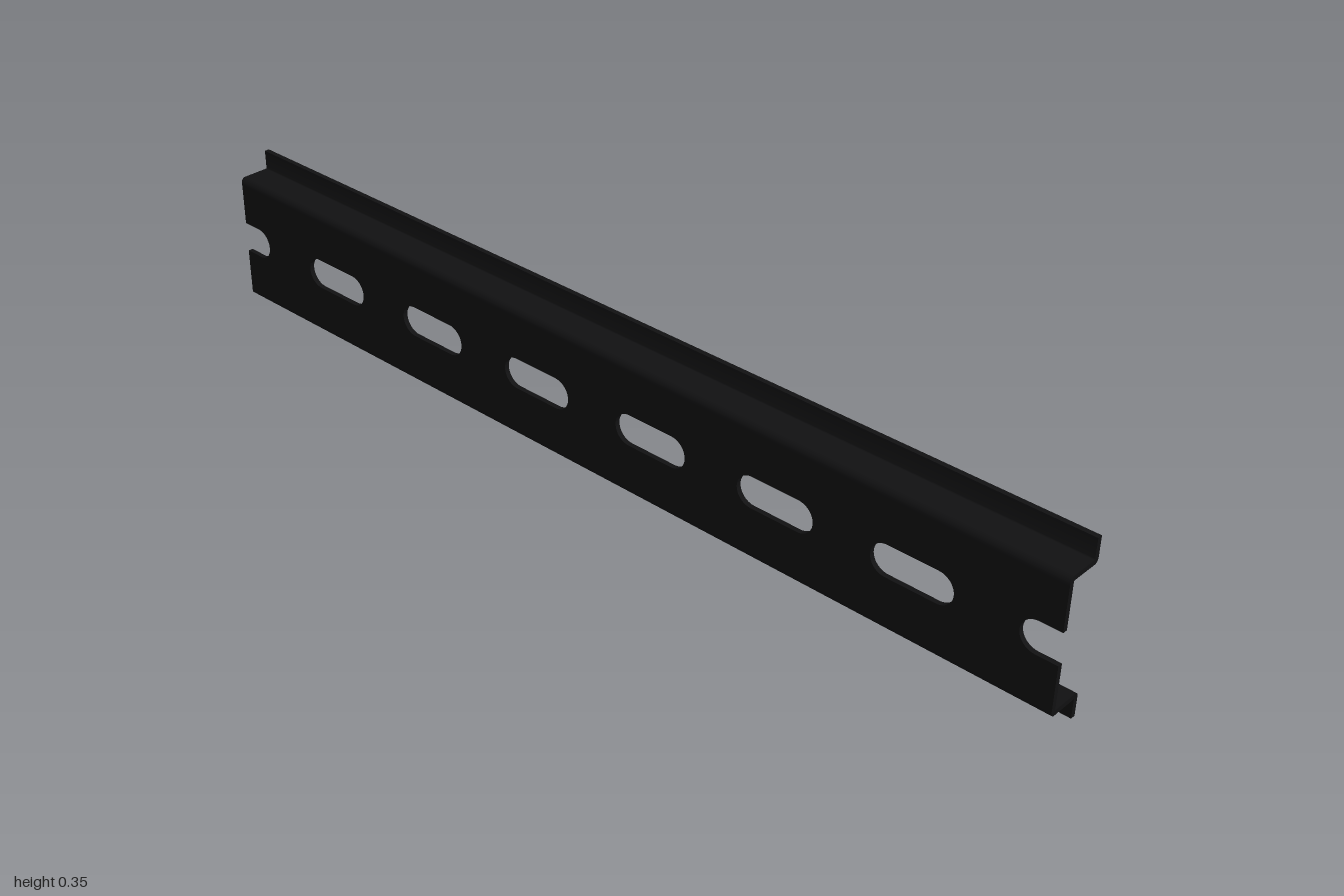
import * as THREE from 'three';
import { toCreasedNormals } from 'three/addons/utils/BufferGeometryUtils.js';

const HEIGHT = 0.35, MID = HEIGHT / 2, LENGTH = 2, THICK = 0.01;
const SLOT_R = 0.032, SLOT_HALF = 0.083, PITCH = 2 / 7;

// Closed shape from [x, y, radius] corners, rounding those with a radius
function roundedShape(corners) {
  const shape = new THREE.Shape();
  const n = corners.length;
  corners.forEach(([x, y, r = 0], i) => {
    const p = new THREE.Vector2(x, y);
    const toward = (c, d) => p.clone().add(new THREE.Vector2(c[0] - x, c[1] - y).setLength(d));
    const prev = corners[(i + n - 1) % n], next = corners[(i + 1) % n];
    if (!r) {
      if (i === 0) shape.moveTo(x, y);
      else shape.lineTo(x, y);
      return;
    }
    const a = toward(prev, r), b = toward(next, r);
    const c1 = toward(prev, r * 0.448), c2 = toward(next, r * 0.448);
    shape.lineTo(a.x, a.y);
    shape.bezierCurveTo(c1.x, c1.y, c2.x, c2.y, b.x, b.y);
  });
  shape.closePath();
  return shape;
}

function extrude(shape, depth, curveSegments) {
  const geo = new THREE.ExtrudeGeometry(shape, { depth, curveSegments, bevelEnabled: false });
  return toCreasedNormals(geo, 0.6);
}

// Obround hole centred at z
function slot(z) {
  const d = SLOT_HALF - SLOT_R;
  const path = new THREE.Path();
  path.absarc(z + d, MID, SLOT_R, -Math.PI / 2, Math.PI / 2, false);
  path.absarc(z - d, MID, SLOT_R, Math.PI / 2, Math.PI * 1.5, false);
  path.closePath();
  return path;
}

export function createModel() {
  const group = new THREE.Group();
  group.name = 'mountingRail';
  const material = new THREE.MeshStandardMaterial({ color: 0x111112 });
  const add = (name, geometry) => {
    const mesh = new THREE.Mesh(geometry, material);
    mesh.name = name;
    group.add(mesh);
  };

  // Slotted web with a half slot cut into each end
  const low = 0.055, high = HEIGHT - low, end = LENGTH / 2, notch = 0.957;
  const web = new THREE.Shape();
  web.moveTo(-end, low);
  web.lineTo(end, low);
  web.lineTo(end, MID - SLOT_R);
  web.absarc(notch, MID, SLOT_R, -Math.PI / 2, -Math.PI * 1.5, true);
  web.lineTo(end, MID + SLOT_R);
  web.lineTo(end, high);
  web.lineTo(-end, high);
  web.lineTo(-end, MID + SLOT_R);
  web.absarc(-notch, MID, SLOT_R, Math.PI / 2, -Math.PI / 2, true);
  web.lineTo(-end, MID - SLOT_R);
  web.closePath();
  for (let i = 0; i < 6; i++) web.holes.push(slot((i - 2.5) * PITCH + 0.004));
  add('slottedWeb', extrude(web, THICK, 16).rotateY(-Math.PI / 2).translate(-0.0275, 0, 0));

  // Bent flange and lip, mirrored top to bottom
  const flange = [
    [-0.0375, 0.295], [-0.0375, 0.31, 0.009], [0.0275, 0.31, 0.002],
    [0.0275, 0.35], [0.0375, 0.35], [0.0375, 0.30, 0.009],
    [-0.0275, 0.30, 0.002], [-0.0275, 0.295],
  ];
  for (const top of [true, false]) {
    const corners = flange.map(([x, y, r]) => [x, top ? y : HEIGHT - y, r]);
    add(top ? 'topFlange' : 'bottomFlange',
      extrude(roundedShape(corners), LENGTH, 8).translate(0, 0, -LENGTH / 2));
  }
  return group;
}
